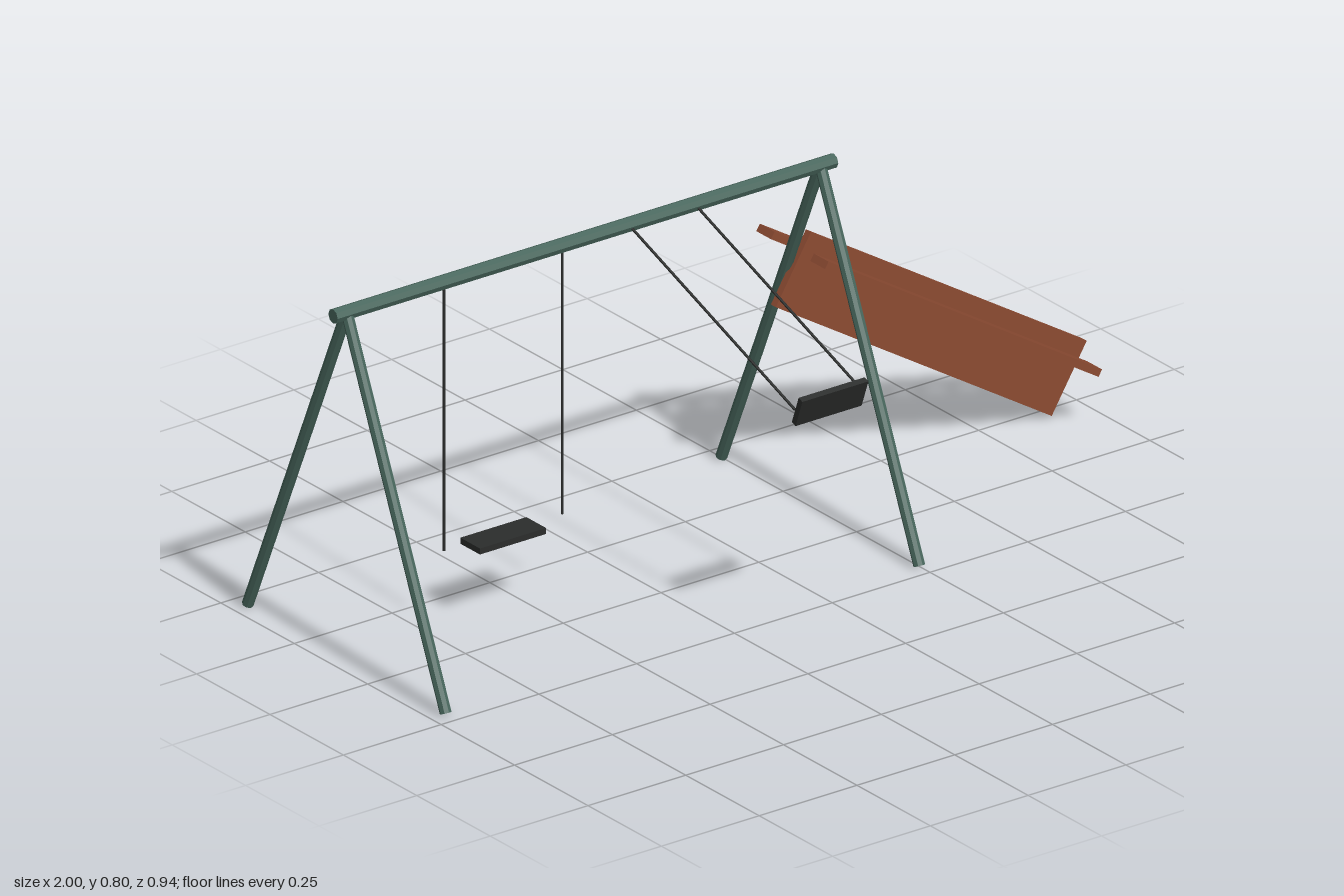
import * as THREE from 'three';

const BEAM_Y = 0.783, BEAM_Z = -0.118;

export function createModel() {
  const root = new THREE.Group();
  root.name = 'swingSet';

  const material = (name, color, flatShading = true) => {
    const m = new THREE.MeshStandardMaterial({ color, flatShading });
    m.name = name;
    return m;
  };
  const green = material('green metal', 0x48675d);
  const brown = material('brown slide', 0x8c4b32);
  const black = material('black rubber', 0x2b2d2c);

  const add = (parent, name, geometry, mat, x = 0, y = 0, z = 0) => {
    const mesh = new THREE.Mesh(geometry, mat);
    mesh.name = name;
    mesh.position.set(x, y, z);
    parent.add(mesh);
    return mesh;
  };

  // Straight pole between two points
  const pole = (parent, name, a, b, radius, sides, mat) => {
    const from = new THREE.Vector3(...a), dir = new THREE.Vector3(...b).sub(from);
    const mesh = add(parent, name, new THREE.CylinderGeometry(radius, radius, dir.length(), sides), mat);
    mesh.position.copy(from).addScaledVector(dir, 0.5);
    mesh.quaternion.setFromUnitVectors(new THREE.Vector3(0, 1, 0), dir.normalize());
    return mesh;
  };

  // Frame: top beam and two A-shaped pairs of legs
  pole(root, 'topBeam', [-1, BEAM_Y, BEAM_Z], [0.28, BEAM_Y, BEAM_Z], 0.016, 8, green);
  for (const x of [-0.965, 0.246]) {
    for (const side of [1, -1]) {
      pole(root, side > 0 ? 'frontLeg' : 'backLeg',
        [x, 0.005, BEAM_Z + side * 0.337], [x, BEAM_Y, BEAM_Z], 0.0125, 8, green);
    }
  }

  // Swing hung from the beam; angle is the forward swing, span the rope spacing
  const swing = (name, x, span, angle) => {
    const group = new THREE.Group();
    group.name = name;
    group.position.set(x, BEAM_Y, BEAM_Z);
    group.rotation.x = -angle;
    for (const side of [-1, 1]) {
      pole(group, 'rope', [side * span / 2, 0, 0], [side * span / 2, -0.604, 0], 0.003, 6, black);
    }
    add(group, 'seat', new THREE.BoxGeometry(0.169, 0.0135, 0.067), black, 0, -0.612, 0);
    root.add(group);
  };
  swing('restingSwing', -0.565, 0.302, 0);
  swing('raisedSwing', -0.16, 0.169, THREE.MathUtils.degToRad(69.7));

  // Slide: upright centre board with a flat rail floating on each side
  const slope = THREE.MathUtils.degToRad(-31.8);
  const board = add(root, 'slideBoard', new THREE.BoxGeometry(0.83, 0.17, 0.017), brown, 0.6, 0.294, -0.22);
  board.rotation.z = slope;
  for (const side of [1, -1]) {
    const rail = add(root, 'slideRail', new THREE.BoxGeometry(0.823, 0.017, 0.05), brown,
      0.601, 0.344, -0.22 + side * 0.092);
    rail.rotation.z = slope;
  }

  return root;
}
